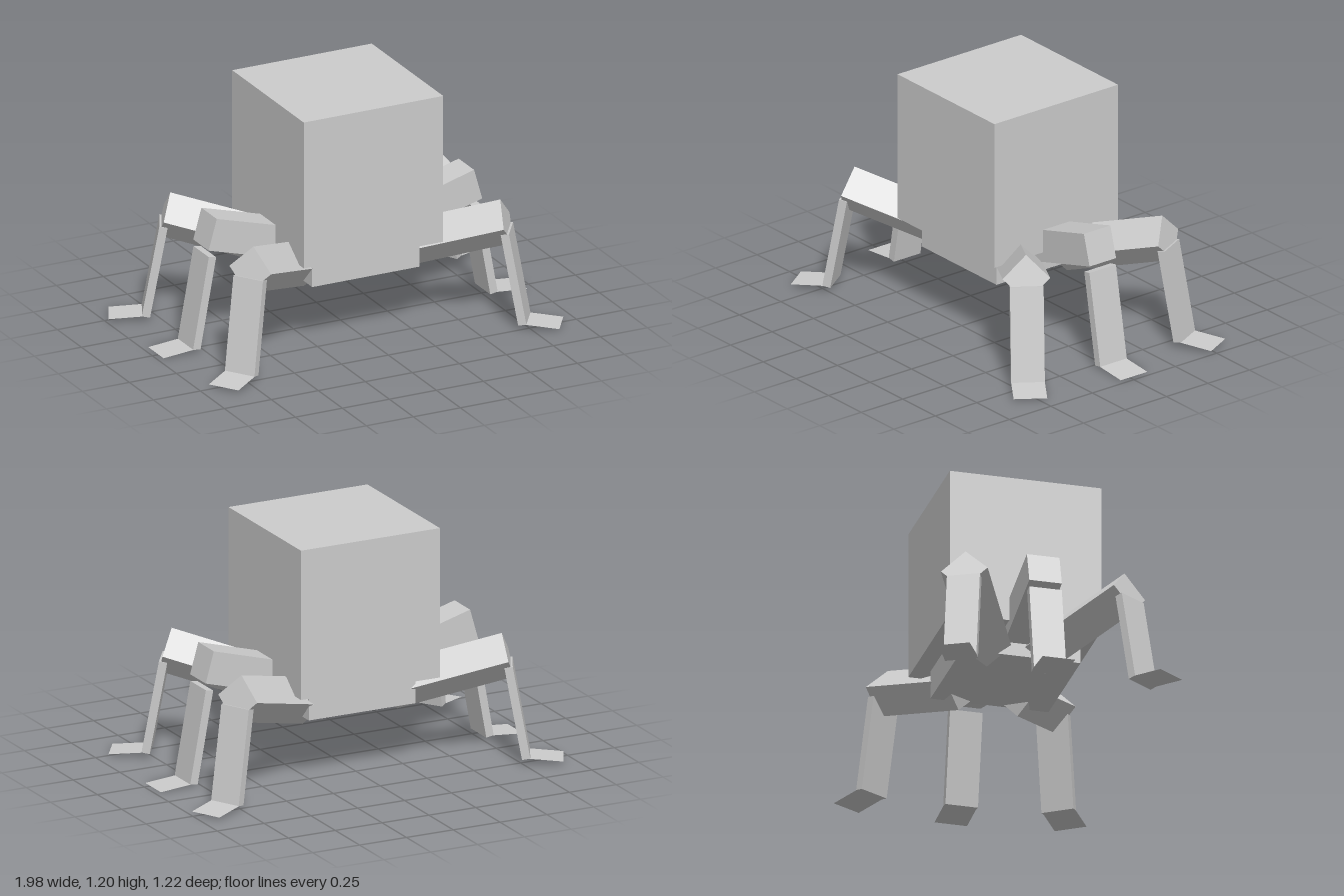
import * as THREE from 'three';

const grey = new THREE.MeshStandardMaterial({ color: 0xcccccc, flatShading: true });
const thin = new THREE.MeshStandardMaterial({ color: 0xcccccc, flatShading: true, side: THREE.DoubleSide });

const WIDTH = 0.16; // leg width

function box(name, w, h, d, x, y, z) {
  const mesh = new THREE.Mesh(new THREE.BoxGeometry(w, h, d), grey);
  mesh.name = name;
  mesh.position.set(x, y, z);
  return mesh;
}

// One leg in its own frame: +x points outward, the ankle is at x = 0
function makeLeg(name, { x, z, turn, roll, kneeY, footY }) {
  const leg = new THREE.Group();
  leg.name = name;
  leg.position.set(x, 0, z);
  leg.rotation.y = turn;

  // Thigh: square beam rising outward, its outer end at the knee
  const length = 0.58;
  const thigh = new THREE.Group();
  thigh.name = 'thigh';
  thigh.position.set(-0.104, kneeY, 0);
  thigh.rotation.z = 0.275;
  const beam = box('thighBeam', length, WIDTH, WIDTH, -length / 2, 0, 0);
  beam.rotation.x = roll;
  thigh.add(beam);

  // Shin: thin plank leaning inward to the knee
  const shin = new THREE.Group();
  shin.name = 'shin';
  shin.position.set(0, footY + 0.015, 0);
  shin.rotation.z = 0.18;
  shin.add(box('shinPlank', 0.04, 0.465, WIDTH, -0.02, 0.2325, 0));

  // Foot: flat sheet sloping gently down and outward
  const foot = new THREE.Mesh(new THREE.PlaneGeometry(0.195, WIDTH).rotateX(-Math.PI / 2), thin);
  foot.name = 'foot';
  foot.position.set(0.06, footY + 0.0085, 0);
  foot.rotation.z = -0.087;

  leg.add(thigh, shin, foot);
  return leg;
}

export function createModel() {
  const model = new THREE.Group();
  model.name = 'sixLeggedWalker';

  // Large cube body over a smaller belly block
  model.add(box('body', 0.742, 0.745, 0.745, 0, 0.8275, -0.0275));
  model.add(box('belly', 0.57, 0.15, 0.58, 0, 0.39, -0.025));

  // Front and back thighs are turned on edge, the middle ones lie flat
  const legs = {
    frontLeg: { x: 0.768, z: 0.455, turn: -0.594, roll: Math.PI / 4, kneeY: 0.5225, footY: 0.015 },
    middleLeg: { x: 0.81, z: -0.0275, turn: 0, roll: 0, kneeY: 0.583, footY: 0 },
    backLeg: { x: 0.815, z: -0.473, turn: 0.472, roll: Math.PI / 4, kneeY: 0.5225, footY: 0.015 },
  };
  for (const [name, spec] of Object.entries(legs)) {
    model.add(makeLeg(name + 'Left', spec));
    // Mirrored leg: each one is symmetric across its own width
    model.add(makeLeg(name + 'Right', { ...spec, x: -spec.x, turn: Math.PI - spec.turn }));
  }
  return model;
}
